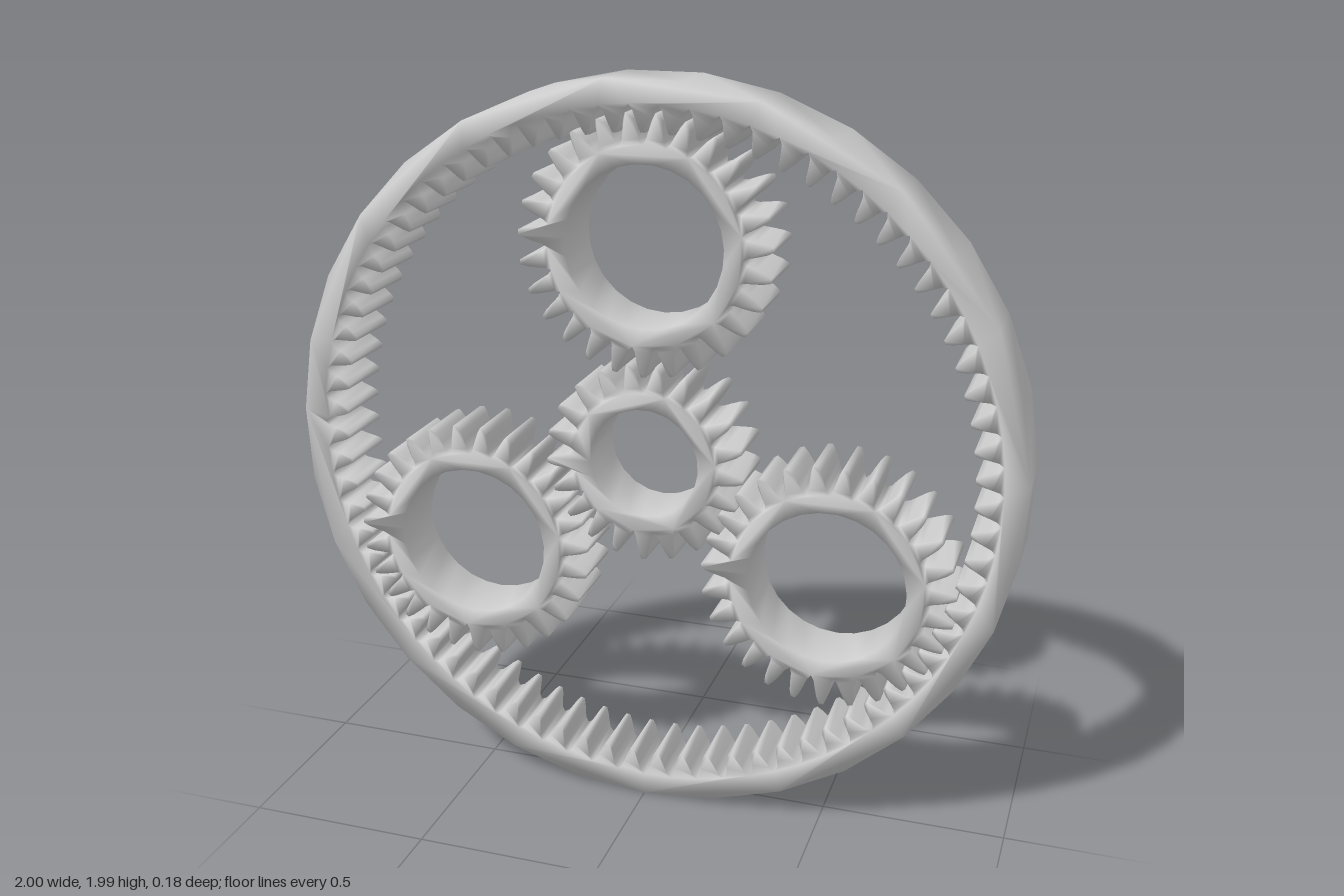
import * as THREE from 'three';
import { mergeVertices } from 'three/addons/utils/BufferGeometryUtils.js';

const DEPTH = 0.18;
const MATERIAL = new THREE.MeshStandardMaterial({ color: 0xcccccc });

// One tooth: [offset in tooth pitches, height from root to tip]
const TOOTH = [[-0.5, 0], [-0.36, 0.16], [-0.28, 0.42], [-0.18, 0.75], [-0.08, 0.97],
  [0.08, 0.97], [0.18, 0.75], [0.28, 0.42], [0.36, 0.16]];

const polar = (r, a) => new THREE.Vector2(r * Math.cos(a), r * Math.sin(a));

// Closed toothed outline; a tip smaller than the root gives inward teeth
function toothOutline(count, root, tip, phase) {
  const pitch = (2 * Math.PI) / count, points = [];
  for (let i = 0; i < count; i++) {
    for (const [offset, height] of TOOTH) {
      points.push(polar(root + (tip - root) * height, phase + (i + offset) * pitch));
    }
  }
  return points;
}

function circleOutline(count, radius, phase) {
  return Array.from({ length: count }, (_, i) => polar(radius, phase + (i * 2 * Math.PI) / count));
}

// Extruded band with normals blended across all edges
function band(name, outer, inner) {
  const shape = new THREE.Shape(outer);
  shape.holes.push(new THREE.Path(inner));
  let geometry = new THREE.ExtrudeGeometry(shape, { depth: DEPTH, bevelEnabled: false });
  geometry.translate(0, 0, -DEPTH / 2);
  geometry.deleteAttribute('normal');
  geometry.deleteAttribute('uv');
  geometry = mergeVertices(geometry, 1e-5);
  geometry.computeVertexNormals();
  const mesh = new THREE.Mesh(geometry, MATERIAL);
  mesh.name = name;
  return mesh;
}

function gear(name, teeth, bore, root, tip, phase) {
  return band(name, toothOutline(teeth, root, tip, phase), circleOutline(teeth, bore, phase));
}

export function createModel() {
  const model = new THREE.Group();
  model.name = 'planetaryGearSet';
  const down = -Math.PI / 2;

  // Outer ring with inward teeth
  const ring = band('ringGear', circleOutline(31, 1, down), toothOutline(75, 0.938, 0.865, -down));
  // Central gear
  const sun = gear('sunGear', 21, 0.15, 0.195, 0.275, down);
  model.add(ring, sun);

  // Three planet gears, each with a tooth pointing at the centre
  for (let k = 0; k < 3; k++) {
    const angle = Math.PI / 2 + (k * 2 * Math.PI) / 3;
    const planet = gear('planetGear' + (k + 1), 27, 0.212, 0.26, 0.342, angle + Math.PI);
    planet.position.set(0.578 * Math.cos(angle), 0.578 * Math.sin(angle), 0);
    model.add(planet);
  }

  for (const part of model.children) part.position.y += 1;
  return model;
}
